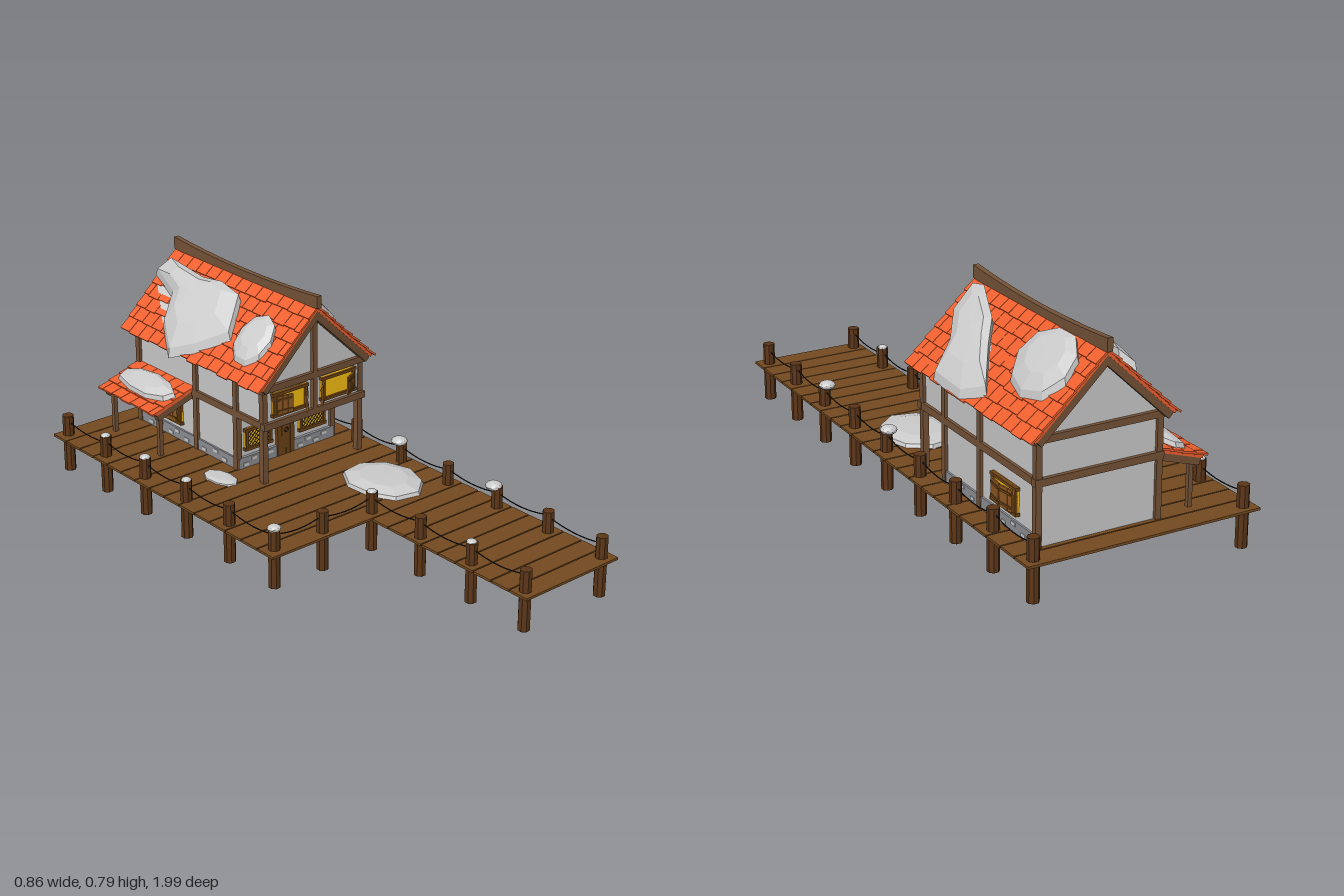
import * as THREE from 'three';

const mat = (color, side = THREE.FrontSide) => new THREE.MeshStandardMaterial({ color, flatShading: true, side });
const M = {
  grey: mat(0xcccccc), snow: mat(0xcccccc, THREE.DoubleSide), stone: mat(0x8f9196), deck: mat(0x754b21),
  post: mat(0x5c3618), beam: mat(0x755338), tile: mat(0xf0602f), frame: mat(0x6e4316),
  shutter: mat(0x915a22), glass: mat(0xffc414), dark: mat(0x1c1814),
};
let seed = 7;
const rnd = () => (seed = (seed * 16807) % 2147483647) / 2147483647;

const RIDGE = 0.117, PEAK = 0.75, SLOPE = 0.95, DECK = 0.14;

function add(parent, name, geo, material, x = 0, y = 0, z = 0) {
  const m = new THREE.Mesh(geo, material);
  m.name = name;
  m.position.set(x, y, z);
  parent.add(m);
  return m;
}
// Box from its limits
function box(parent, name, material, x0, x1, y0, y1, z0, z1) {
  return add(parent, name, new THREE.BoxGeometry(x1 - x0, y1 - y0, z1 - z0), material,
    (x0 + x1) / 2, (y0 + y1) / 2, (z0 + z1) / 2);
}
function group(parent, name, x = 0, y = 0, z = 0) {
  const g = new THREE.Group();
  g.name = name;
  g.position.set(x, y, z);
  parent.add(g);
  return g;
}

// Domed snow patch with an [x, z] outline, lying on a height function
function snow(parent, outline, surface, h) {
  const n = outline.length, pos = [], idx = [];
  const cx = outline.reduce((s, p) => s + p[0], 0) / n, cz = outline.reduce((s, p) => s + p[1], 0) / n;
  [[1, -0.005], [0.95, h * 0.5], [0.6, h], [0, h * 1.05]].forEach(([s, lift]) => outline.forEach(([px, pz]) => {
    const x = cx + (px - cx) * s, z = cz + (pz - cz) * s;
    pos.push(x, surface(x) + lift, z);
  }));
  for (let r = 0; r < 3; r++) for (let i = 0; i < n; i++) {
    const a = r * n + i, b = r * n + (i + 1) % n;
    idx.push(a, a + n, b);
    if (r < 2) idx.push(b, a + n, b + n);
  }
  for (let i = 1; i < n - 1; i++) idx.push(0, i, i + 1);
  const geo = new THREE.BufferGeometry();
  geo.setAttribute('position', new THREE.Float32BufferAttribute(pos, 3));
  geo.setIndex(idx);
  geo.computeVertexNormals();
  add(parent, 'snowPatch', geo, M.snow);
}
const oval = (cx, cz, rx, rz, n = 9) => Array.from({ length: n }, (_, i) => {
  const a = i / n * Math.PI * 2, k = 0.93 + rnd() * 0.14;
  return [cx + Math.cos(a) * rx * k, cz + Math.sin(a) * rz * k];
});

// Tiled roof plane running down local +x from its top edge
function roofSlope(parent, name, x, y, z, turn, angle, len, width, rows, cols) {
  const pivot = group(parent, name, x, y, z);
  pivot.rotation.y = turn;
  const g = group(pivot, 'slope');
  g.rotation.z = -angle;
  box(g, 'roofBoards', M.tile, 0, len - 0.01, -0.01, 0, -width / 2 + 0.005, width / 2 - 0.005);
  const d = len / rows, w = width / cols;
  for (let r = 0; r < rows; r++) for (let c = 0, odd = r % 2; c < cols + odd; c++) {
    const z0 = Math.max(0, (c - odd / 2) * w) - width / 2, z1 = Math.min(width, (c + 1 - odd / 2) * w) - width / 2;
    const t = box(g, 'roofTile', M.tile, r * d, (r + 1.08) * d + (rnd() - 0.5) * 0.008, 0, 0.007, z0 + 0.001, z1 - 0.001);
    t.rotation.z = 0.08 + rnd() * 0.03;
  }
  for (const s of [-1, 1]) {
    const e = s * (width / 2 - 0.018);
    box(g, 'bargeBoard', M.beam, 0.005, len - 0.015, -0.035, -0.008, e - 0.012, e + 0.012);
  }
}

// Window facing +z: frame, glass, then lattice or hinged shutters
function window_(parent, x, y, z, turn, w, h, shutters) {
  const g = group(parent, 'window', x, y, z), a = w / 2, b = h / 2, f = 0.011;
  g.rotation.y = turn;
  box(g, 'windowGlass', M.glass, -a, a, -b, b, -0.004, 0.003);
  for (const s of [-1, 1]) {
    box(g, 'windowRail', M.frame, -a - 0.004, a + 0.004, s * (b - f / 2) - f / 2, s * (b - f / 2) + f / 2, -0.005, 0.012);
    box(g, 'windowStile', M.frame, s * (a - f / 2) - f / 2, s * (a - f / 2) + f / 2, -b, b, -0.005, 0.011);
    const iw = a - f, ih = b - f;
    if (!shutters) for (let c = -0.08; c < 0.081; c += 0.016) {
      const u0 = Math.max(-iw, -ih - c), u1 = Math.min(iw, ih - c);
      if (u1 - u0 < 0.004) continue;
      const bar = add(g, 'lattice', new THREE.BoxGeometry((u1 - u0) * Math.SQRT2, 0.0018, 0.002), M.dark,
        s * (u0 + u1) / 2, (u0 + u1) / 2 + c, 0.004);
      bar.rotation.z = s * Math.PI / 4;
    } else {
      const hinge = group(g, 'shutter', s * iw, 0, 0.012);
      hinge.rotation.y = s * shutters[s < 0 ? 0 : 1];
      for (let i = 0; i < 3; i++) {
        const u0 = -s * iw * i / 3, u1 = -s * iw * (i + 0.94) / 3;
        box(hinge, 'shutterBoard', M.shutter, Math.min(u0, u1), Math.max(u0, u1), -ih, ih, 0, 0.006);
      }
      for (const v of [-0.6, 0.6]) box(hinge, 'shutterBatten', M.frame, -s * iw / 2 - iw * 0.45, -s * iw / 2 + iw * 0.45,
        v * ih - 0.004, v * ih + 0.004, 0.006, 0.009);
    }
  }
}

function buildPier(root) {
  const g = group(root, 'pier');
  // Planks, full width behind and narrow along the jetty
  for (let i = 0; i < 15; i++) box(g, 'plank', M.deck, -0.43, 0.425, 0.131, DECK, -1 + i * 0.0847, -1 + (i + 1) * 0.0847 - 0.005);
  for (let i = 0; i < 9; i++) box(g, 'plank', M.deck, 0, 0.425, 0.131, DECK, 0.27 + i * 0.0811, 0.27 + (i + 1) * 0.0811 - 0.005);
  // Posts in two runs, joined by sagging ropes
  const runs = [[], []];
  for (let i = 0; i < 9; i++) runs[0].push([0.385, 0.957 - i * 0.24]);
  for (let i = 0; i < 4; i++) runs[1].push([0.035, 0.955 - i * 0.242]);
  runs[1].push([-0.185, 0.229]);
  for (let i = 0; i < 6; i++) runs[1].push([-0.388, 0.222 - i * 0.237]);
  for (const run of runs) run.forEach(([x, z], i) => {
    add(g, 'post', new THREE.CylinderGeometry(0.021, 0.021, 0.217, 8), M.post, x, 0.1085, z).rotation.y = Math.PI / 8;
    if (!i) return;
    const [px, pz] = run[i - 1], y = 0.19 + rnd() * 0.012;
    const curve = new THREE.QuadraticBezierCurve3(new THREE.Vector3(px, y, pz),
      new THREE.Vector3((x + px) / 2, 0.165, (z + pz) / 2), new THREE.Vector3(x, 0.195, z));
    add(g, 'rope', new THREE.TubeGeometry(curve, 8, 0.0022, 5), M.dark);
  });
  // Snow on posts and deck
  for (const [x, z, r] of [[-0.388, 0.222, 0.024], [0.38, -0.01, 0.03], [0.38, 0.465, 0.03], [0.035, 0.229, 0.018],
    [0.035, 0.71, 0.018], [-0.388, -0.25, 0.018], [-0.388, -0.489, 0.02], [-0.388, -0.726, 0.018]])
    add(g, 'postSnow', new THREE.IcosahedronGeometry(r, 1), M.snow, x, 0.217, z).scale.y = 0.55;
  snow(g, oval(0.22, 0.085, 0.13, 0.155), () => DECK, 0.026);
  snow(g, oval(-0.195, -0.31, 0.045, 0.08), () => DECK, 0.01);
}

function buildHouse(root) {
  const g = group(root, 'house'), L = -0.1, R = 0.335, F = -0.175, S = -0.33, B = -0.9;
  // Walls: set-back ground floor, overhanging upper floor with gables
  box(g, 'groundFloorWalls', M.grey, L, R, DECK, 0.365, B, S);
  const shape = new THREE.Shape([[L, 0.355], [R, 0.355], [R, 0.528], [RIDGE, 0.735], [L, 0.528]].map(p => new THREE.Vector2(...p)));
  add(g, 'upperFloorWalls', new THREE.ExtrudeGeometry(shape, { depth: F - B, bevelEnabled: false }), M.grey, 0, 0, B);
  // Timber frame
  for (const [y0, y1, e] of [[0.345, 0.37, 0.014], [0.484, 0.508, 0.02]]) {
    box(g, 'frontBeam', M.beam, L - e, R + e, y0, y1, F - 0.01, F + 0.014);
    box(g, 'backBeam', M.beam, L - e, R + e, y0, y1, B - 0.014, B + 0.01);
    for (const x of [L, R]) box(g, 'sideBeam', M.beam, x - 0.011, x + 0.011, y0, y1, B - 0.01, F + 0.01);
  }
  for (const x of [L, R]) for (const z of [F - 0.008, S, -0.56, B])
    box(g, 'wallPost', M.beam, x - 0.011, x + 0.011, DECK, 0.5, z - 0.011, z + 0.011);
  box(g, 'gablePost', M.beam, RIDGE - 0.01, RIDGE + 0.01, 0.36, 0.75, F - 0.01, F + 0.014);
  // Stone footing
  const stones = (x0, x1, z0, z1) => box(g, 'footing', M.stone, x0, x1, DECK, 0.182, z0, z1);
  stones(L, 0.07, S, S + 0.012);
  stones(0.152, R, S, S + 0.012);
  for (const x of [L, R]) stones(x - 0.007, x + 0.007, B, S);
  for (let i = 0; i < 9; i++) {
    const t = rnd() * 0.02, y = DECK + 0.008 + (i % 2) * 0.016, z = -0.4 - i * 0.054;
    for (const x of [L, R]) box(g, 'stone', M.grey, x - 0.009, x + 0.009, y, y + 0.012, z - t, z + 0.025 - t);
    if (i < 8) {
      const x = (i < 4 ? -0.085 : 0.165) + (i % 4) * 0.037;
      box(g, 'stone', M.grey, x, x + 0.024, y, y + 0.012, S, S + 0.015);
    }
  }
  // Door with ring handle
  for (let i = 0; i < 4; i++) box(g, 'doorBoard', M.frame, 0.072 + i * 0.0195, 0.0905 + i * 0.0195, DECK, 0.286, S - 0.01, S + 0.014);
  add(g, 'doorRing', new THREE.TorusGeometry(0.008, 0.002, 6, 12), M.dark, 0.111, 0.235, S + 0.016);
  // Windows
  for (const x of [-0.012, 0.238]) window_(g, x, 0.246, S + 0.004, 0, 0.118, 0.084);
  window_(g, 0.005, 0.43, F + 0.004, 0, 0.152, 0.09, [0.15, 0.9]);
  window_(g, 0.226, 0.43, F + 0.004, 0, 0.152, 0.09, [2.4, 0.5]);
  window_(g, R + 0.004, 0.252, -0.72, Math.PI / 2, 0.15, 0.096, [0.12, 0.12]);
  window_(g, L - 0.004, 0.252, -0.72, -Math.PI / 2, 0.15, 0.096, [0.12, 0.12]);
}

function buildRoofs(root) {
  const g = group(root, 'roofs'), run = 0.262, angle = Math.atan(SLOPE);
  for (const turn of [0, Math.PI])
    roofSlope(g, 'mainRoof', RIDGE, PEAK, -0.545, turn, angle, run * Math.hypot(1, SLOPE), 0.8, 7, 14);
  // Sagging ridge beam
  const ridge = new THREE.BoxGeometry(0.02, 0.045, 0.81, 1, 1, 10), p = ridge.attributes.position;
  for (let i = 0; i < p.count; i++) p.setY(i, p.getY(i) - 0.018 * (1 - (p.getZ(i) / 0.405) ** 2));
  ridge.computeVertexNormals();
  add(g, 'ridgeBeam', ridge, M.beam, RIDGE, 0.772, -0.545);
  // Lean-to on the right-hand wall
  roofSlope(g, 'leanToRoof', -0.1, 0.372, -0.738, Math.PI, 0.31, 0.192, 0.335, 4, 6);
  for (const z of [-0.6, -0.876]) box(g, 'leanToPost', M.beam, -0.247, -0.231, DECK, 0.315, z - 0.008, z + 0.008);
  box(g, 'leanToBeam', M.beam, -0.249, -0.229, 0.292, 0.315, -0.89, -0.585);
  // Snow
  const main = x => 0.765 - SLOPE * Math.abs(x - RIDGE), lean = x => 0.385 + (x + 0.1) * 0.32;
  snow(g, oval(0.222, -0.757, 0.09, 0.145), main, 0.04);
  snow(g, [[0.35, -0.62], [0.39, -0.52], [0.385, -0.34], [0.3, -0.29], [0.23, -0.19], [0.15, -0.18], [0.14, -0.24], [0.2, -0.4], [0.26, -0.48]], main, 0.045);
  snow(g, [[0.02, -0.95], [0.065, -0.92], [0.05, -0.7], [0.06, -0.6], [0.045, -0.48], [-0.06, -0.41], [-0.13, -0.53],
    [-0.17, -0.63], [-0.1, -0.75], [-0.02, -0.8]], main, 0.05);
  snow(g, oval(-0.04, -0.308, 0.07, 0.088), main, 0.03);
  snow(g, oval(-0.19, -0.735, 0.055, 0.155), lean, 0.024);
}

export function createModel() {
  const root = new THREE.Group();
  root.name = 'pierHouse';
  buildPier(root);
  buildHouse(root);
  buildRoofs(root);
  return root;
}
